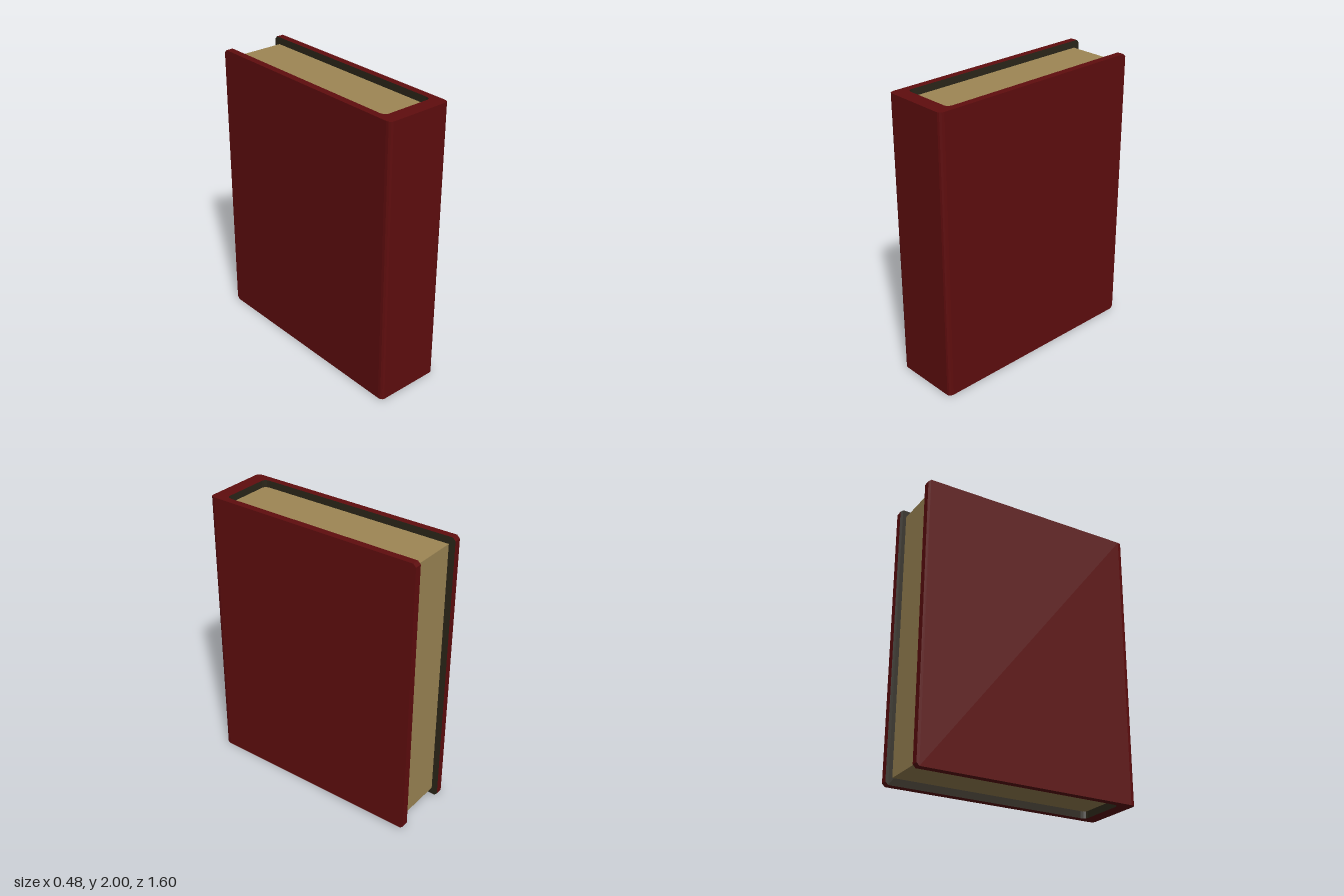
import * as THREE from 'three';

const HEIGHT = 2, BACK = -0.8, CLIP = 0.02;

// One half of a U outline, from the open back edge round the spine corner
function halfOutline(x, z, rx, rz) {
  const pts = [[x, BACK], [x, BACK + CLIP]];
  for (let i = 0; i <= 3; i++) {
    const a = (i / 3) * Math.PI / 2;
    pts.push([x - rx * (1 - Math.cos(a)), z - rz * (1 - Math.sin(a))]);
  }
  return pts;
}

// Whole U outline: the -x side, the spine, then the +x side
function outline(x, z, rx, rz) {
  const half = halfOutline(x, z, rx, rz);
  return [...half.map(([px, pz]) => [-px, pz]), ...half.reverse()];
}

// Flat-sided surface from a list of quads
function quadGeometry(quads) {
  const pos = [];
  for (const [a, b, c, d] of quads) pos.push(...a, ...b, ...c, ...a, ...c, ...d);
  const geo = new THREE.BufferGeometry();
  geo.setAttribute('position', new THREE.Float32BufferAttribute(pos, 3));
  geo.computeVertexNormals();
  return geo;
}

export function createModel() {
  const group = new THREE.Group();
  const add = (name, geo, color) => {
    const mesh = new THREE.Mesh(geo, new THREE.MeshStandardMaterial({ color, flatShading: true }));
    mesh.name = name;
    group.add(mesh);
  };

  const outer = outline(0.24, 0.8, 0.025, 0.035);
  const inner = outline(0.19, 0.7, 0.03, 0.04);

  // Board corners are clipped at the open back edge
  const inset = (z) => (z <= BACK ? CLIP : 0);
  const lo = ([x, z]) => [x, inset(z), z];
  const hi = ([x, z]) => [x, HEIGHT - inset(z), z];

  // Cover: outside wall, top and bottom rims; lining: inside wall
  const cover = [], lining = [];
  const last = outer.length - 1;
  for (let i = 0; i < last; i++) {
    const [p, q, r, s] = [outer[i], outer[i + 1], inner[i + 1], inner[i]];
    cover.push([lo(p), lo(q), hi(q), hi(p)]);
    cover.push([hi(p), hi(q), hi(r), hi(s)]);
    cover.push([lo(s), lo(r), lo(q), lo(p)]);
    lining.push([lo(r), lo(s), hi(s), hi(r)]);
  }
  // Back ends of the two boards
  cover.push([lo(inner[0]), lo(outer[0]), hi(outer[0]), hi(inner[0])]);
  cover.push([lo(outer[last]), lo(inner[last]), hi(inner[last]), hi(outer[last])]);
  add('cover', quadGeometry(cover), 0x5f0d0e);
  add('coverLining', quadGeometry(lining), 0x2b2619);

  // Page block, set in from the cover on its three open sides
  const shape = new THREE.Shape(inner.map(([x, z]) => new THREE.Vector2(x, -Math.max(z, -0.755))));
  const pages = new THREE.ExtrudeGeometry(shape, { depth: HEIGHT - 0.1, bevelEnabled: false });
  pages.rotateX(-Math.PI / 2).translate(0, 0.05, 0);
  add('pages', pages, 0x9e8755);

  return group;
}
